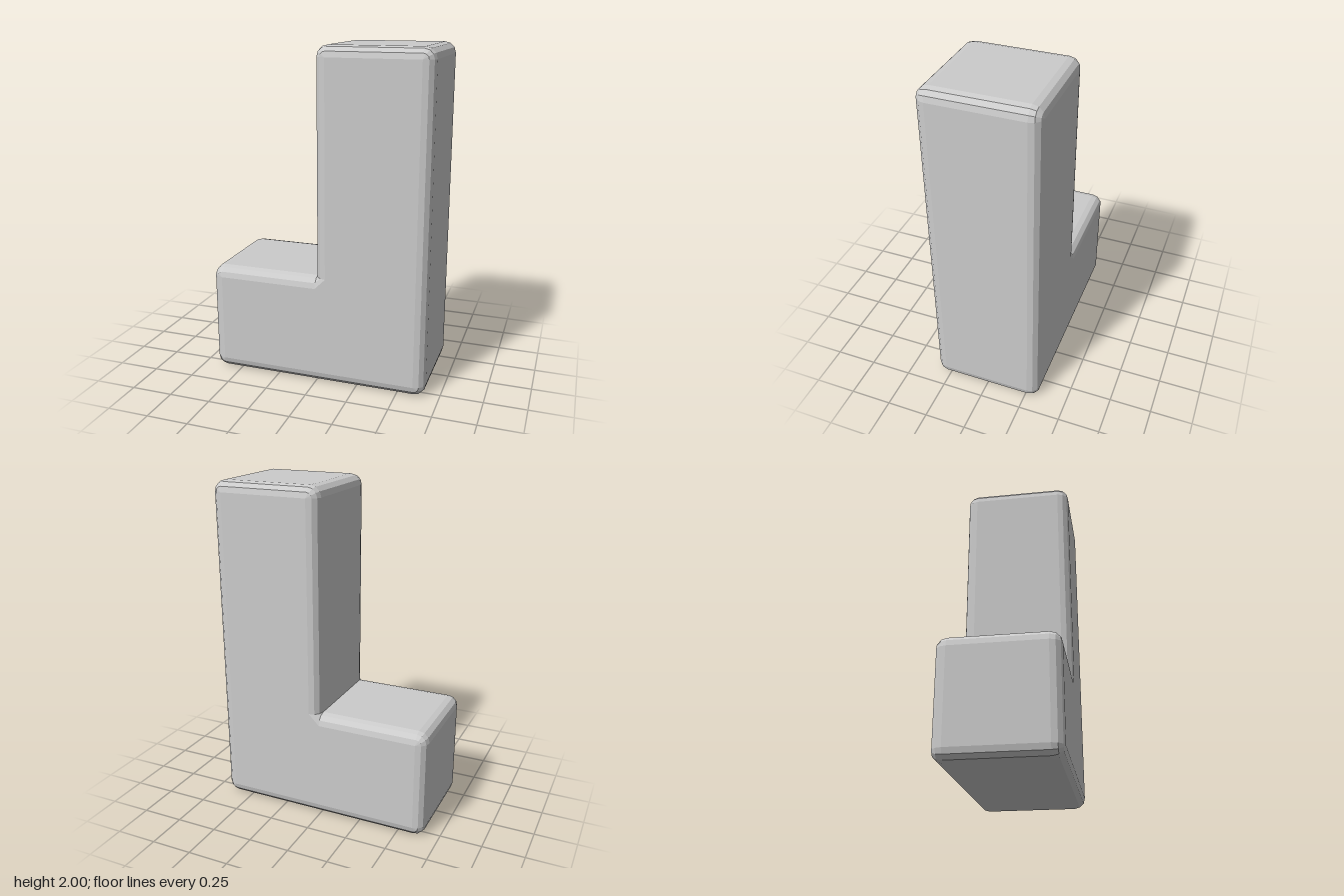
import * as THREE from 'three';

const W = 2 / 3;      // half width of the foot, also the block unit
const DEPTH = 1 / 3;  // half depth
const R = 0.065;      // edge rounding
const SEG = 3;        // facets per rounded edge

// Convex corners of the L, counter-clockwise: arc centre and start angle in quarter turns
const corners = [
  [-W + R, R, 2], [W - R, R, 3], [W - R, 2 - R, 0], [R, 2 - R, 1],
  null, // inner corner
  [-W + R, W - R, 1],
];

// Outline of the L at rounding angle a (0 = full size, PI/2 = fully inset)
function outline(a) {
  const r = R * Math.cos(a), d = R - r, pts = [];
  for (const c of corners) {
    if (!c) { // chamfered inner corner
      pts.push([d, W], [0, W - d]);
      continue;
    }
    for (let i = 0; i <= SEG; i++) {
      const t = (c[2] + i / SEG) * Math.PI / 2;
      pts.push([c[0] + r * Math.cos(t), c[1] + r * Math.sin(t)]);
    }
  }
  return pts;
}

function blockGeometry() {
  const positions = [], index = [];
  // Layers from back to front
  const layers = [];
  for (let i = SEG; i >= 0; i--) layers.push([i, -1]);
  for (let i = 0; i <= SEG; i++) layers.push([i, 1]);
  let n = 0;
  for (const [i, side] of layers) {
    const a = (i / SEG) * Math.PI / 2;
    const pts = outline(a);
    n = pts.length;
    const z = side * (DEPTH - R + R * Math.sin(a));
    for (const [x, y] of pts) positions.push(x, y, z);
  }
  // Walls between layers
  for (let k = 0; k < layers.length - 1; k++) {
    for (let i = 0; i < n; i++) {
      const j = (i + 1) % n;
      const a = k * n + i, b = k * n + j;
      index.push(a, b, b + n, a, b + n, a + n);
    }
  }
  // Front and back caps, one point per collapsed corner
  const ids = [];
  let at = 0;
  for (const c of corners) {
    if (c) { ids.push(at); at += SEG + 1; }
    else { ids.push(at, at + 1); at += 2; }
  }
  const flat = outline(Math.PI / 2);
  const contour = ids.map((i) => new THREE.Vector2(...flat[i]));
  const front = (layers.length - 1) * n;
  for (const [a, b, c] of THREE.ShapeUtils.triangulateShape(contour, [])) {
    index.push(front + ids[a], front + ids[b], front + ids[c]);
    index.push(ids[a], ids[c], ids[b]);
  }
  const g = new THREE.BufferGeometry();
  g.setAttribute('position', new THREE.Float32BufferAttribute(positions, 3));
  g.setIndex(index);
  const out = g.toNonIndexed();
  out.computeVertexNormals();
  return out;
}

export function createModel() {
  const group = new THREE.Group();
  const block = new THREE.Mesh(
    blockGeometry(),
    new THREE.MeshStandardMaterial({ color: 0xcccccc, flatShading: true }),
  );
  block.name = 'roundedLBlock';
  group.add(block);
  return group;
}
